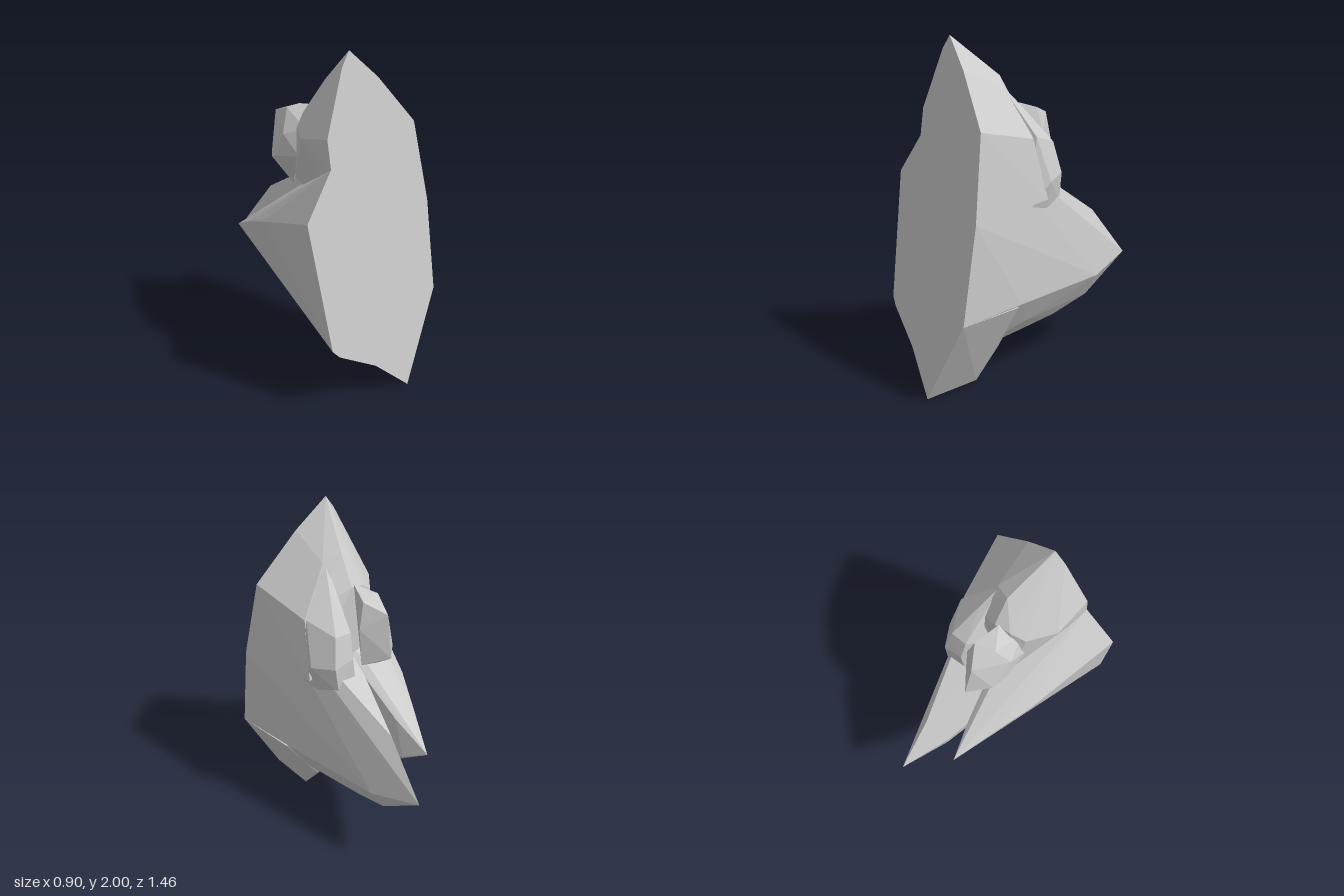
import * as THREE from 'three';
import { ConvexGeometry } from 'three/addons/geometries/ConvexGeometry.js';

// Depth of the flat, leaning cut face at a given height
const cutZ = (y) => 0.73 - 0.16 * y;

// Faceted chunk: [x, y] corners lie on the cut face, [x, y, z] corners are free
function chunk(name, corners, material) {
  const points = corners.map(([x, y, z = cutZ(y)]) => new THREE.Vector3(x, y, z));
  const mesh = new THREE.Mesh(new ConvexGeometry(points), material);
  mesh.name = name;
  return mesh;
}

export function createModel() {
  const group = new THREE.Group();
  group.name = 'rock';
  const stone = new THREE.MeshStandardMaterial({ color: 0xcccccc, flatShading: true });

  const chunks = {
    // Long spur running back to the furthest tip
    mainSpur: [
      [0.45, 0.52], [0.445, 1.07], [0.38, 1.54], [0, 1.4], [-0.2, 0.9], [-0.05, 0.22], [0.28, 0.24],
      [0.37, 0.53, 0.22], [0.285, 0.53, -0.12], [0.215, 0.52, -0.43], [0.105, 0.59, -0.73],
      [0.18, 0.8, -0.42], [0.11, 0.91, -0.47], [0.08, 1.01, -0.27], [0.05, 1.12, -0.12],
      [0.12, 0.37, -0.42], [0.04, 0.42, -0.4], [0.12, 0.29, -0.17], [0.02, 0.32, -0.15],
      [0.14, 0.25, 0.12], [0.0, 0.25, 0.15], [0, 0.63, -0.42], [0.24, 0.36, 0.1],
    ],
    // Sharp ridge pointing down at the front
    keel: [
      [0.17, 0], [0.45, 0.52], [0, 0.19], [-0.07, 0.22], [0.1, 0.6],
      [0.155, 0.02, 0.4], [0.16, 0.2, 0.25], [0.05, 0.22, 0.25], [0.38, 0.52, 0.25], [0.1, 0.5, 0.1],
    ],
    // Shorter spur on the other side
    sideSpur: [
      [-0.455, 1.18], [-0.375, 0.43], [-0.33, 0.38], [-0.07, 0.22], [0.1, 0.35], [-0.26, 1.42], [0.1, 1.45],
      [-0.35, 1.02, 0.28], [-0.31, 0.95, -0.02], [-0.225, 0.85, -0.24], [-0.125, 0.7, -0.51],
      [-0.08, 0.4, -0.09], [-0.1, 0.3, 0.2], [-0.05, 1.1, -0.01], [-0.06, 0.85, -0.29], [-0.06, 0.62, -0.36],
    ],
    // Peak
    upperPeak: [
      [-0.06, 2], [-0.12, 1.92], [-0.265, 1.58], [-0.26, 1.42], [-0.2, 1.1],
      [0.13, 1.83], [0.19, 1.75], [0.38, 1.54], [0.445, 1.07],
      [0.02, 1.77, 0.14], [0.12, 1.72, 0.18], [0.02, 1.6, 0.04], [-0.07, 1.58, 0.06],
      [-0.15, 1.52, 0.1], [-0.25, 1.52, 0.25], [-0.12, 1.2, 0.05], [0.3, 1.45, 0.1], [0.33, 1.1, 0.02],
    ],
    // Overhanging lump on one shoulder
    shoulderLump: [
      [0.1, 1.74, 0.19], [0.15, 1.6, 0.07], [0.3, 1.46, 0.08], [0.33, 1.2, 0], [0.32, 1.06, 0.13],
      [0.29, 1.04, 0], [0.22, 1.03, -0.03], [0.23, 1.06, -0.13], [0.11, 1.1, -0.12],
      [0.25, 1.22, -0.13], [0.13, 1.25, -0.125], [0.22, 1.4, -0.09], [0.12, 1.4, -0.09], [0, 1.3, 0.1],
    ],
    // Knob on the back
    backKnob: [
      [-0.03, 1.27, -0.27], [-0.03, 1.4, -0.23], [-0.04, 1.52, -0.22], [0.04, 1.57, -0.1],
      [-0.08, 1.58, -0.07], [0, 1.61, 0.05], [-0.15, 1.45, -0.02], [-0.15, 1.3, -0.08],
      [-0.06, 1.12, -0.04], [0.08, 1.2, -0.14], [0.08, 1.42, -0.12], [-0.13, 1.27, -0.15],
      [-0.04, 1.17, -0.13], [-0.1, 1.5, 0.12], [-0.15, 1.35, 0.12],
    ],
  };

  for (const [name, corners] of Object.entries(chunks)) group.add(chunk(name, corners, stone));
  return group;
}
